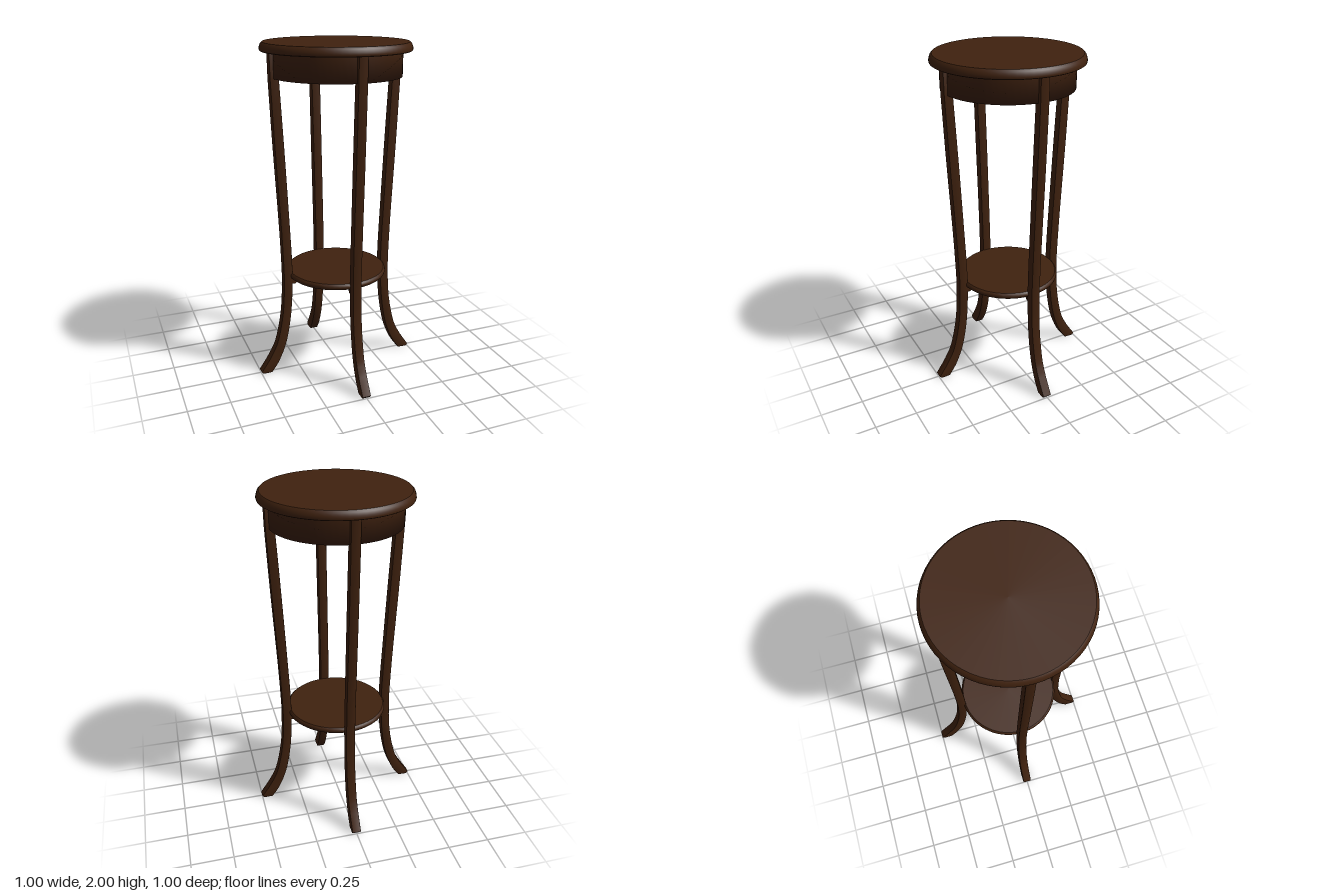
import * as THREE from 'three';
import { toCreasedNormals } from 'three/addons/utils/BufferGeometryUtils.js';

export function createModel() {
  const group = new THREE.Group();
  const wood = new THREE.MeshStandardMaterial({ color: 0x40220f });
  wood.name = 'dark wood';

  const add = (name, geometry, parent = group) => {
    const mesh = new THREE.Mesh(geometry, wood);
    mesh.name = name;
    parent.add(mesh);
    return mesh;
  };
  const points = (list) => list.map(([x, y]) => new THREE.Vector2(x, y));
  const turned = (list) => new THREE.LatheGeometry(points(list), 64);

  // Round top with a softened edge
  add('tableTop', toCreasedNormals(turned([
    [0, 1.95], [0.422, 1.95], [0.429, 1.954], [0.431, 1.962],
    [0.429, 1.974], [0.423, 1.99], [0.413, 2], [0, 2],
  ]), 0.6));

  // Solid drum under the top, softly shaded around its lower edge
  add('apron', turned([[0, 1.81], [0.376, 1.81], [0.376, 1.95]]));

  // Lower shelf with a rounded rim
  add('shelf', toCreasedNormals(turned([
    [0, 0.613], [0.292, 0.613], [0.3, 0.62], [0.303, 0.631],
    [0.3, 0.642], [0.292, 0.649], [0, 0.649],
  ]), 0.6));

  // Leg side profile: curved outer and inner edges, flared at the foot
  const outer = [[0.39, 1.81], [0.372, 1.4], [0.351, 1], [0.341, 0.75], [0.339, 0.6],
    [0.35, 0.4], [0.386, 0.215], [0.43, 0.115], [0.496, 0.014]];
  const inner = [[0.437, 0.006], [0.388, 0.08], [0.338, 0.21], [0.306, 0.4],
    [0.295, 0.6], [0.296, 0.75], [0.307, 1], [0.326, 1.4], [0.348, 1.81]];
  const bevel = 0.005;
  const shape = new THREE.Shape();
  shape.moveTo(0.345, 1.95);
  shape.lineTo(0.392, 1.95);
  shape.lineTo(...outer[0]);
  shape.splineThru(points(outer.slice(1)));
  shape.lineTo(0.488, 0.005);
  shape.lineTo(...inner[0]);
  shape.splineThru(points(inner.slice(1)));
  shape.closePath();
  const width = 0.054;
  const legGeometry = toCreasedNormals(new THREE.ExtrudeGeometry(shape, {
    depth: width - 2 * bevel, curveSegments: 3, bevelEnabled: true,
    bevelThickness: bevel, bevelSize: bevel, bevelSegments: 2,
  }).translate(0, 0, -width / 2 + bevel), 0.6);

  // Small round support under the shelf beside each leg
  const supportGeometry = toCreasedNormals(
    new THREE.CylinderGeometry(0.023, 0.023, 0.04, 20).rotateX(Math.PI / 2), 0.6);

  ['left', 'back', 'right', 'front'].forEach((side, i) => {
    const assembly = new THREE.Group();
    assembly.name = side + 'LegAssembly';
    assembly.rotation.y = i * Math.PI / 2;
    add(side + 'Leg', legGeometry, assembly);
    add(side + 'ShelfSupport', supportGeometry, assembly).position.set(0.279, 0.6, 0);
    group.add(assembly);
  });

  return group;
}
